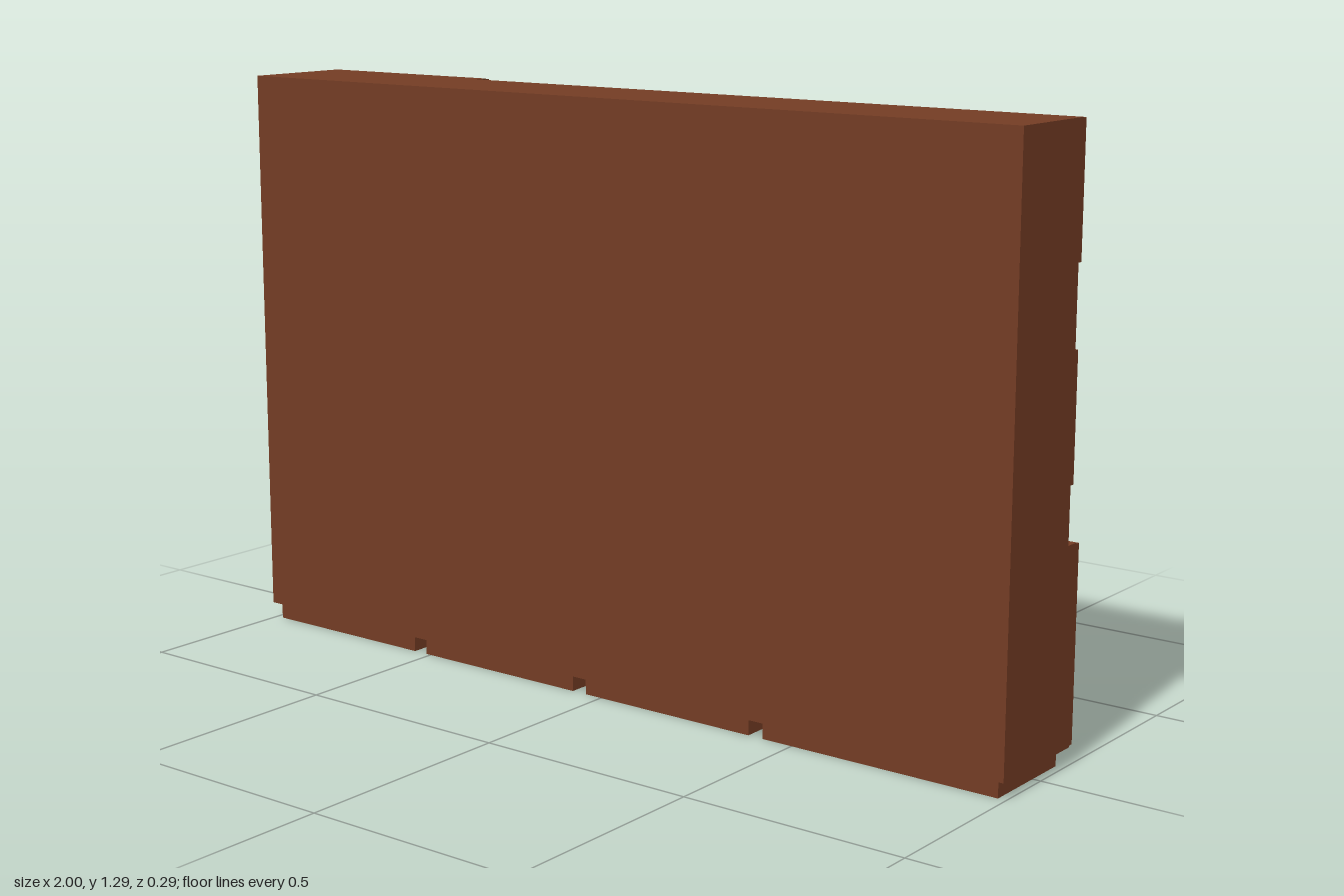
import * as THREE from 'three';

const wood = new THREE.MeshStandardMaterial({ color: 0x733c24 });
wood.name = 'brown wood';
const glass = new THREE.MeshStandardMaterial({ color: 0xb0bab6 });
glass.name = 'frosted glass';
const metal = new THREE.MeshStandardMaterial({ color: 0x7c9494 });
metal.name = 'knob metal';

const BACK = 0.147, TOP = 1.295, BASE = 0.038, COUNTER = 0.46;
const T = 0.012;              // board thickness
const GAP = 0.002;            // half the gap between doors
const DEEP = -0.112, SHALLOW = -0.08; // cabinet front planes
const DOOR = 0.015;           // door thickness

// Box given by its two extents on every axis
function board(parent, name, x0, x1, y0, y1, z0, z1, material = wood) {
  const mesh = new THREE.Mesh(new THREE.BoxGeometry(x1 - x0, y1 - y0, z1 - z0), material);
  mesh.position.set((x0 + x1) / 2, (y0 + y1) / 2, (z0 + z1) / 2);
  mesh.name = name;
  parent.add(mesh);
}

// Flared knob standing out towards -z
function knob(parent, x, y, z) {
  const mesh = new THREE.Mesh(new THREE.CylinderGeometry(0.009, 0.004, 0.02, 12), metal);
  mesh.rotation.x = -Math.PI / 2;
  mesh.position.set(x, y, z - 0.01);
  mesh.name = 'knob';
  parent.add(mesh);
}

// Pair of doors hung on the plane z, with knobs beside the middle gap
function doorPair(parent, name, x0, x1, y0, y1, z, knobY) {
  const mid = (x0 + x1) / 2;
  board(parent, name, x0 + GAP, mid - GAP / 2, y0, y1, z - DOOR, z);
  board(parent, name, mid + GAP / 2, x1 - GAP, y0, y1, z - DOOR, z);
  for (const s of [-1, 1]) knob(parent, mid + s * 0.022, knobY, z - DOOR);
}

function plinth(parent, x0, x1) {
  board(parent, 'plinth', x0 + 0.018, x1 - 0.018, 0, BASE, -0.093, 0.135);
}

// Tall cabinet with two tiers of doors
function wardrobe(x0, x1) {
  const g = new THREE.Group();
  g.name = 'wardrobe';
  plinth(g, x0, x1);
  board(g, 'wardrobeBody', x0, x1, BASE, TOP, DEEP, BACK);
  doorPair(g, 'tallDoor', x0, x1, BASE + GAP, 1.012, DEEP, 0.555);
  doorPair(g, 'topDoor', x0, x1, 1.017, TOP - GAP, DEEP, 1.057);
  return g;
}

// Base cupboard, open shelves and wall cupboard
function wallUnit(x0, x1, hasGlass) {
  const g = new THREE.Group();
  g.name = hasGlass ? 'displayUnit' : 'deskUnit';
  plinth(g, x0, x1);
  board(g, 'baseCupboard', x0, x1, BASE, COUNTER, DEEP, BACK);
  doorPair(g, 'baseDoor', x0, x1, BASE + GAP, COUNTER - 0.004, DEEP, 0.417);

  board(g, 'topCupboard', x0, x1, 1.017, TOP, SHALLOW, BACK);
  doorPair(g, 'topDoor', x0, x1, 1.017, TOP - GAP, SHALLOW, 1.057);

  // Open frame between the cupboards
  board(g, 'sidePanel', x0, x0 + T, COUNTER, 1.017, SHALLOW, BACK);
  board(g, 'sidePanel', x1 - T, x1, COUNTER, 1.017, SHALLOW, BACK);
  const a = x0 + T, b = x1 - T;
  board(g, 'backPanel', a, b, COUNTER, 1.017, BACK - T, BACK);
  board(g, 'nicheFloor', a, b, COUNTER, COUNTER + T, SHALLOW, BACK - T);

  const low = hasGlass ? 0.62 : 0.58 + T;
  const high = hasGlass ? 0.85 : 0.835;
  board(g, 'lowerShelf', a, b, low - T, low, SHALLOW, BACK - T);
  board(g, 'upperShelf', a, b, high, high + T, SHALLOW, BACK - T);
  const mid = (x0 + x1) / 2;
  if (hasGlass) {
    board(g, 'glassDoor', a, mid - GAP / 2, low, high, -0.073, -0.064, glass);
    board(g, 'glassDoor', mid + GAP / 2, b, low, high, -0.073, -0.064, glass);
  } else {
    board(g, 'dropDoor', x0 + GAP, x1 - GAP, 0.58, 0.847, SHALLOW - DOOR, SHALLOW);
    knob(g, mid, 0.817, SHALLOW - DOOR);
  }
  return g;
}

export function createModel() {
  const model = new THREE.Group();
  model.name = 'wallCabinet';
  model.add(wardrobe(-1, -0.53));
  model.add(wallUnit(-0.53, -0.06, true));
  model.add(wallUnit(-0.06, 0.41, true));
  model.add(wallUnit(0.41, 1, false));
  return model;
}
